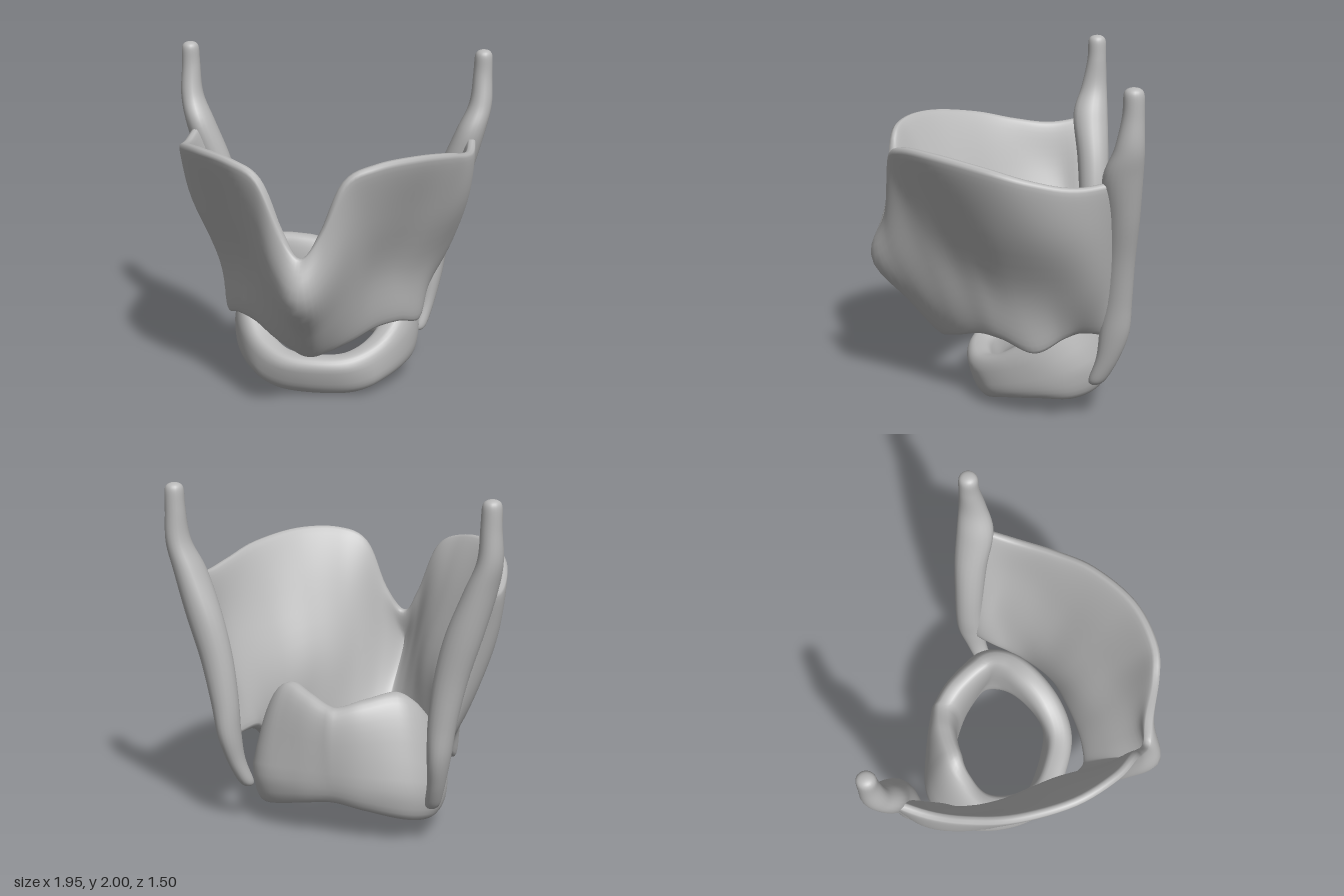
import * as THREE from 'three';
import { mergeVertices } from 'three/addons/utils/BufferGeometryUtils.js';

// Smooth surface from loops: fn(u, v) with u along the part and v around it.
function loft(nu, nv, fn) {
  const pos = [], idx = [];
  for (let i = 0; i <= nu; i++) {
    for (let j = 0; j <= nv; j++) pos.push(...fn(i / nu, (j % nv) / nv).toArray());
  }
  const w = nv + 1;
  for (let i = 0; i < nu; i++) {
    for (let j = 0; j < nv; j++) {
      const a = i * w + j, b = a + w;
      idx.push(a, b, b + 1, a, b + 1, a + 1);
    }
  }
  // keep the faces pointing outwards whichever way the loops run
  const p = (k) => new THREE.Vector3().fromArray(pos, k * 3);
  let volume = 0;
  for (let k = 0; k < idx.length; k += 3) {
    volume += p(idx[k]).dot(p(idx[k + 1]).cross(p(idx[k + 2])));
  }
  if (volume < 0) idx.reverse();
  let g = new THREE.BufferGeometry();
  g.setAttribute('position', new THREE.Float32BufferAttribute(pos, 3));
  g.setIndex(idx);
  g = mergeVertices(g, 1e-5);
  g.computeVertexNormals();
  return g;
}

const curve = (pts, closed = false) => new THREE.CatmullRomCurve3(pts, closed, 'catmullrom', 0.5);
const V = (x, y, z) => new THREE.Vector3(x, y, z);
const power = (s, e) => Math.sign(s) * Math.abs(s) ** e;

// Shield columns from midline to rear edge: bottom xyz, top xyz, lower and upper bulge
const COLUMNS = [
  [0, 0.345, 0.3, 0, 1.05, 0.65, 0.07, 0.165],
  [0.1, 0.37, 0.27, 0.11, 1.2, 0.63, 0.05, 0.09],
  [0.22, 0.41, 0.2, 0.24, 1.49, 0.62, 0, 0.02],
  [0.35, 0.46, 0.09, 0.41, 1.575, 0.56, -0.06, -0.03],
  [0.47, 0.46, -0.03, 0.62, 1.585, 0.38, -0.1, -0.06],
  [0.57, 0.41, -0.2, 0.78, 1.54, 0.1, -0.1, -0.04],
  [0.57, 0.5, -0.35, 0.845, 1.48, -0.15, -0.01, 0.03],
  [0.57, 0.54, -0.46, 0.87, 1.45, -0.39, 0.05, 0.05],
  [0.62, 0.53, -0.63, 0.865, 1.5, -0.66, -0.03, -0.03],
];

function shieldGeometry() {
  const all = [...COLUMNS.slice(1).reverse().map((c) => [-c[0], c[1], c[2], -c[3], ...c.slice(4)]), ...COLUMNS];
  const rows = [0, 1, 2, 3].map((r) => curve(all.map((c) => {
    const p = V(c[0], c[1], c[2]).lerp(V(c[3], c[4], c[5]), r / 3);
    const out = V(p.x, 0, p.z).normalize();
    return p.addScaledVector(out, r === 1 ? c[6] : r === 2 ? c[7] : 0);
  })));
  const at = (u, v) => curve(rows.map((r) => r.getPoint(u))).getPoint(v);
  const clamp = (t) => Math.min(1, Math.max(0, t));
  return loft(96, 44, (u, w) => {
    const a = w * Math.PI * 2, v = 0.5 - 0.5 * Math.cos(a), d = 0.01;
    const du = at(clamp(u + d), v).sub(at(clamp(u - d), v));
    const dv = at(u, clamp(v + d)).sub(at(u, clamp(v - d)));
    const n = du.cross(dv).normalize();
    const ends = Math.sqrt(Math.max(0, 1 - Math.abs(2 * u - 1) ** 40));
    const thick = (0.045 + 0.014 * (1 - v)) * ends;
    return at(u, v).addScaledVector(n, thick * power(Math.sin(a), 0.45));
  });
}

// Rear rim running from upper horn to lower horn: x, y, z, radius in x, radius in z
const RIM = [
  [0.915, 2, -0.675, 0.055, 0.058],
  [0.912, 1.85, -0.675, 0.058, 0.06],
  [0.905, 1.67, -0.66, 0.07, 0.082],
  [0.85, 1.5, -0.635, 0.09, 0.11],
  [0.765, 1.25, -0.645, 0.105, 0.1],
  [0.695, 1.0, -0.645, 0.095, 0.09],
  [0.65, 0.75, -0.645, 0.08, 0.085],
  [0.63, 0.55, -0.635, 0.065, 0.085],
  [0.605, 0.38, -0.6, 0.05, 0.065],
  [0.56, 0.21, -0.535, 0.045, 0.05],
];

function rimGeometry(side) {
  const path = curve(RIM.map((p) => V(p[0] * side, p[1], p[2])));
  const size = curve(RIM.map((p) => V(p[3], p[4], 0)));
  return loft(80, 20, (u, w) => {
    const t = 0.5 - 0.5 * Math.cos(u * Math.PI), a = w * Math.PI * 2;
    const k = Math.sqrt(Math.max(0, 1 - (2 * t - 1) ** 40));
    const s = size.getPoint(t);
    return path.getPoint(t).add(V(Math.cos(a) * s.x * k, 0, Math.sin(a) * s.y * k));
  });
}

// Ring sections from front to back: x, z, half width, bottom y, top y
const RING = [
  [0, 0.105, 0.085, 0, 0.255],
  [0.2, 0.075, 0.085, 0.01, 0.27],
  [0.36, -0.05, 0.09, 0.065, 0.35],
  [0.465, -0.24, 0.095, 0.1, 0.5],
  [0.48, -0.41, 0.095, 0.1, 0.72],
  [0.4, -0.54, 0.095, 0.13, 0.84],
  [0.19, -0.605, 0.095, 0.18, 0.81],
  [0, -0.615, 0.09, 0.21, 0.765],
];

function ringGeometry() {
  const all = [...RING, ...RING.slice(1, -1).reverse().map((r) => [-r[0], ...r.slice(1)])];
  const path = curve(all.map((r) => V(r[0], 0, r[1])), true);
  const size = curve(all.map((r) => V(r[2], r[3], r[4])), true);
  return loft(96, 32, (u, w) => {
    const t = u % 1, a = w * Math.PI * 2;
    const tan = path.getPoint((t + 0.004) % 1).sub(path.getPoint((t + 0.996) % 1)).normalize();
    const s = size.getPoint(t), mid = path.getPoint(t);
    const p = mid.clone().addScaledVector(V(tan.z, 0, -tan.x), s.x * power(Math.cos(a), 0.7));
    p.y = (s.y + s.z) / 2 + ((s.z - s.y) / 2) * power(Math.sin(a), 0.75);
    // the tall rear plate narrows and leans forward at its shoulders
    const high = Math.max(0, p.y - 0.33);
    p.x *= 1 - 0.32 * high;
    p.z += 0.2 * high * Math.min(1, Math.abs(mid.x) / 0.35);
    // the front arch slopes back below
    p.z += 0.3 * Math.min(0, p.y - 0.2) * Math.min(1, Math.max(0, mid.z / 0.1));
    return p;
  });
}

export function createModel() {
  const model = new THREE.Group();
  model.name = 'larynxCartilages';
  const grey = new THREE.MeshStandardMaterial({ color: 0xb8b8b8 });
  grey.name = 'cartilageGrey';
  const add = (name, geometry) => {
    const mesh = new THREE.Mesh(geometry, grey);
    mesh.name = name;
    model.add(mesh);
  };
  add('shieldPlate', shieldGeometry());
  add('leftHornRim', rimGeometry(1));
  add('rightHornRim', rimGeometry(-1));
  add('lowerRing', ringGeometry());
  return model;
}
